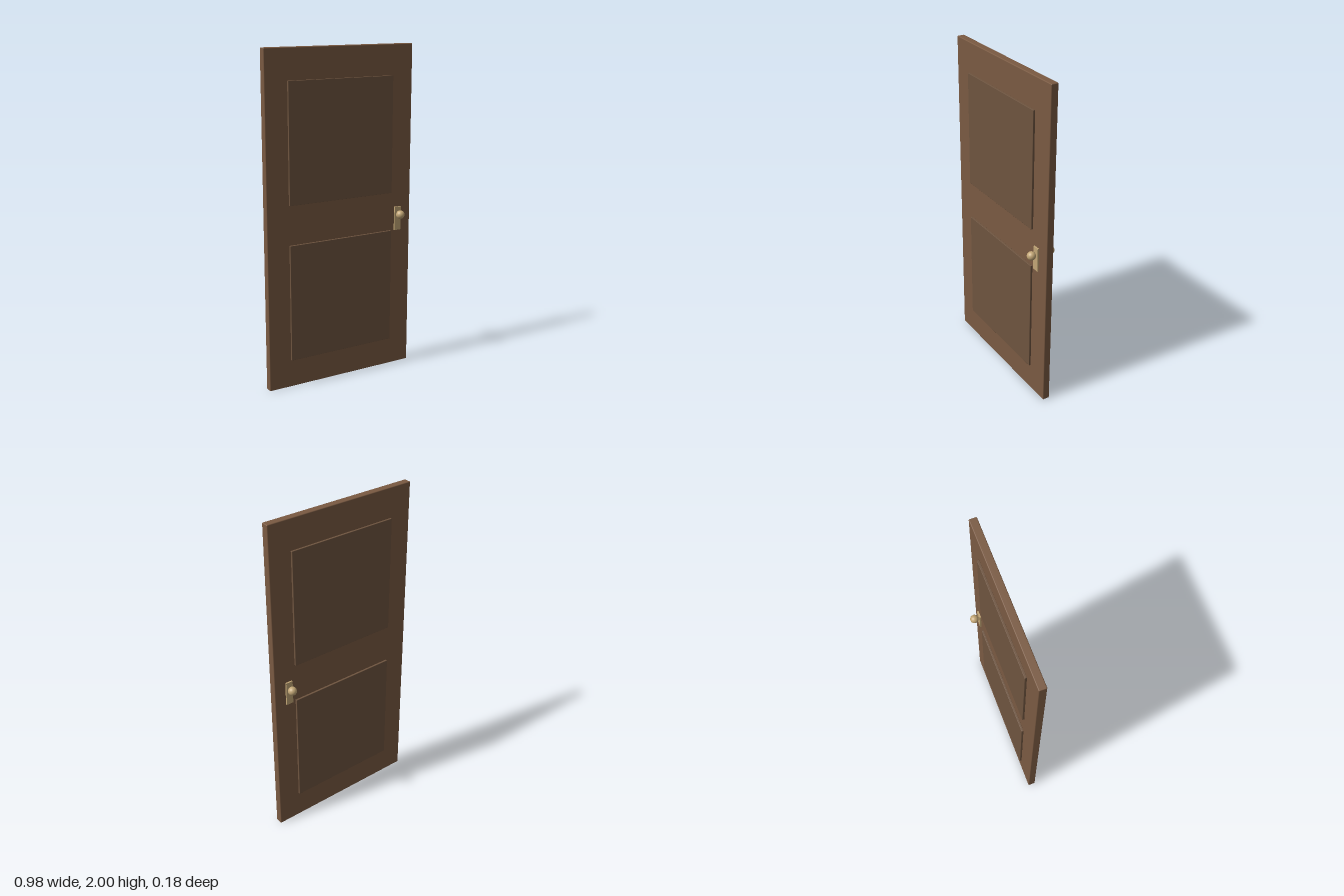
import * as THREE from 'three';
import { RoundedBoxGeometry } from 'three/addons/geometries/RoundedBoxGeometry.js';

export function createModel() {
  const door = new THREE.Group();
  door.name = 'door';

  const wood = new THREE.MeshStandardMaterial({ color: 0x7a5a42 });
  const panelWood = new THREE.MeshStandardMaterial({ color: 0x6e543f });
  const brass = new THREE.MeshStandardMaterial({ color: 0xc2a676 });

  const add = (parent, name, geometry, material, x, y, z) => {
    const mesh = new THREE.Mesh(geometry, material);
    mesh.name = name;
    mesh.position.set(x, y, z);
    parent.add(mesh);
  };

  // Door leaf with softened edges
  add(door, 'leaf', new RoundedBoxGeometry(0.976, 2, 0.045, 2, 0.005), wood, 0, 1, 0);

  // Raised panels and handle set, the same on both faces
  const panel = new RoundedBoxGeometry(0.694, 0.706, 0.013, 2, 0.002);
  const plate = new THREE.BoxGeometry(0.045, 0.146, 0.009);
  const knob = new THREE.SphereGeometry(0.026, 32, 20);

  for (const [side, s] of [['front', 1], ['back', -1]]) {
    const face = new THREE.Group();
    face.name = side + 'Face';
    add(face, 'upperPanel', panel, panelWood, 0, 1.465, s * 0.0285);
    add(face, 'lowerPanel', panel, panelWood, 0, 0.523, s * 0.0285);
    add(face, 'handlePlate', plate, brass, 0.394, 0.948, s * 0.0305);
    add(face, 'knob', knob, brass, 0.394, 0.976, s * 0.062);
    door.add(face);
  }

  return door;
}
